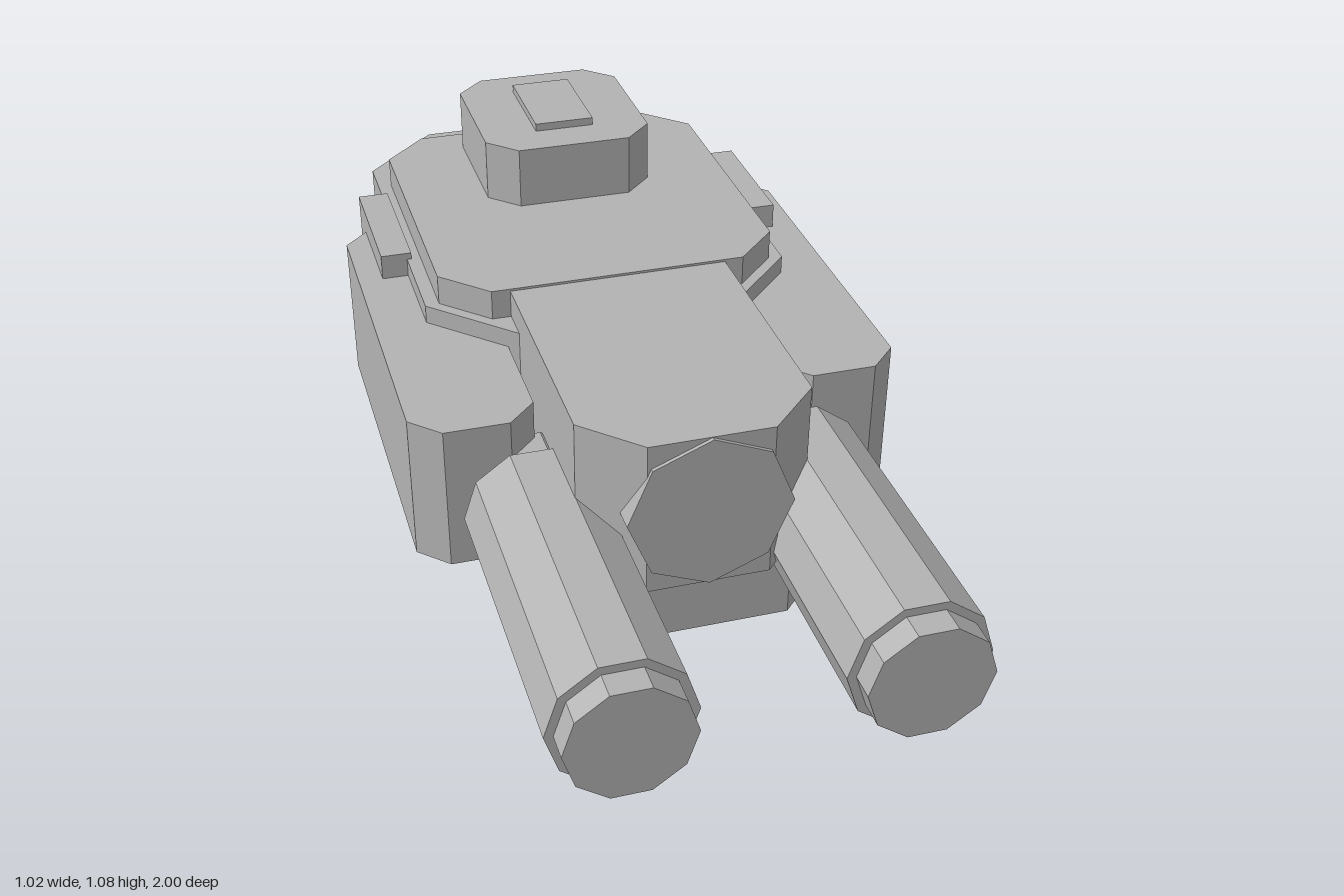
import * as THREE from 'three';

export function createModel() {
  const model = new THREE.Group();
  model.name = 'armouredBody';
  const grey = new THREE.MeshStandardMaterial({ color: 0xb3b3b3, flatShading: true });
  grey.name = 'plain grey';

  function add(name, geometry) {
    const mesh = new THREE.Mesh(geometry, grey);
    mesh.name = name;
    model.add(mesh);
  }

  // Upright block with four chamfered vertical edges
  function slab(name, x0, x1, y0, y1, z0, z1, c) {
    const shape = new THREE.Shape([
      [x0 + c, -z1], [x1 - c, -z1], [x1, -z1 + c], [x1, -z0 - c],
      [x1 - c, -z0], [x0 + c, -z0], [x0, -z0 - c], [x0, -z1 + c],
    ].map(([x, y]) => new THREE.Vector2(x, y)));
    const g = new THREE.ExtrudeGeometry(shape, { depth: y1 - y0, bevelEnabled: false });
    g.rotateX(-Math.PI / 2).translate(0, y0, 0);
    add(name, g);
  }

  function box(name, x0, x1, y0, y1, z0, z1) {
    const g = new THREE.BoxGeometry(x1 - x0, y1 - y0, z1 - z0);
    g.translate((x0 + x1) / 2, (y0 + y1) / 2, (z0 + z1) / 2);
    add(name, g);
  }

  // Faceted cylinder lying along z
  function rod(name, x, y, r, sides, z0, z1, turn) {
    const g = new THREE.CylinderGeometry(r, r, z1 - z0, sides, 1, false, turn);
    g.rotateX(Math.PI / 2).translate(x, y, (z0 + z1) / 2);
    add(name, g);
  }

  // Central stack
  slab('post', -0.14, 0.14, 0, 0.4, -0.92, -0.59, 0.067);
  slab('mainBody', -0.4, 0.4, 0.365, 0.86, -1, 0.018, 0.17);
  slab('bellyBlock', -0.35, 0.35, 0.34, 0.59, -0.24, 0.42, 0.12);
  slab('noseBlock', -0.235, 0.235, 0.585, 0.92, -0.3, 0.572, 0.11);
  slab('roofPlate', -0.37, 0.37, 0.85, 0.925, -0.84, -0.06, 0.095);
  slab('topBlock', -0.188, 0.188, 0.92, 1.06, -0.83, -0.425, 0.062);
  box('hatch', -0.066, 0.066, 1.05, 1.077, -0.745, -0.515);
  rod('noseDisc', 0, 0.753, 0.166, 8, 0.4, 0.58, 0);

  // Side pods with barrels and rails
  for (const s of [1, -1]) {
    const side = s > 0 ? 'left' : 'right';
    const span = (a, b) => (s > 0 ? [a, b] : [-b, -a]);
    slab(side + 'Pod', ...span(0.255, 0.51), 0.5, 0.82, -0.605, 0.275, 0.06);
    box(side + 'Rail', ...span(0.39, 0.457), 0.78, 0.875, -0.672, -0.367);
    rod(side + 'Barrel', s * 0.278, 0.618, 0.142, 10, 0.288, 0.945, Math.PI / 2);
    rod(side + 'BarrelCore', s * 0.278, 0.618, 0.124, 10, 0.2, 1, Math.PI / 2);
  }
  return model;
}
